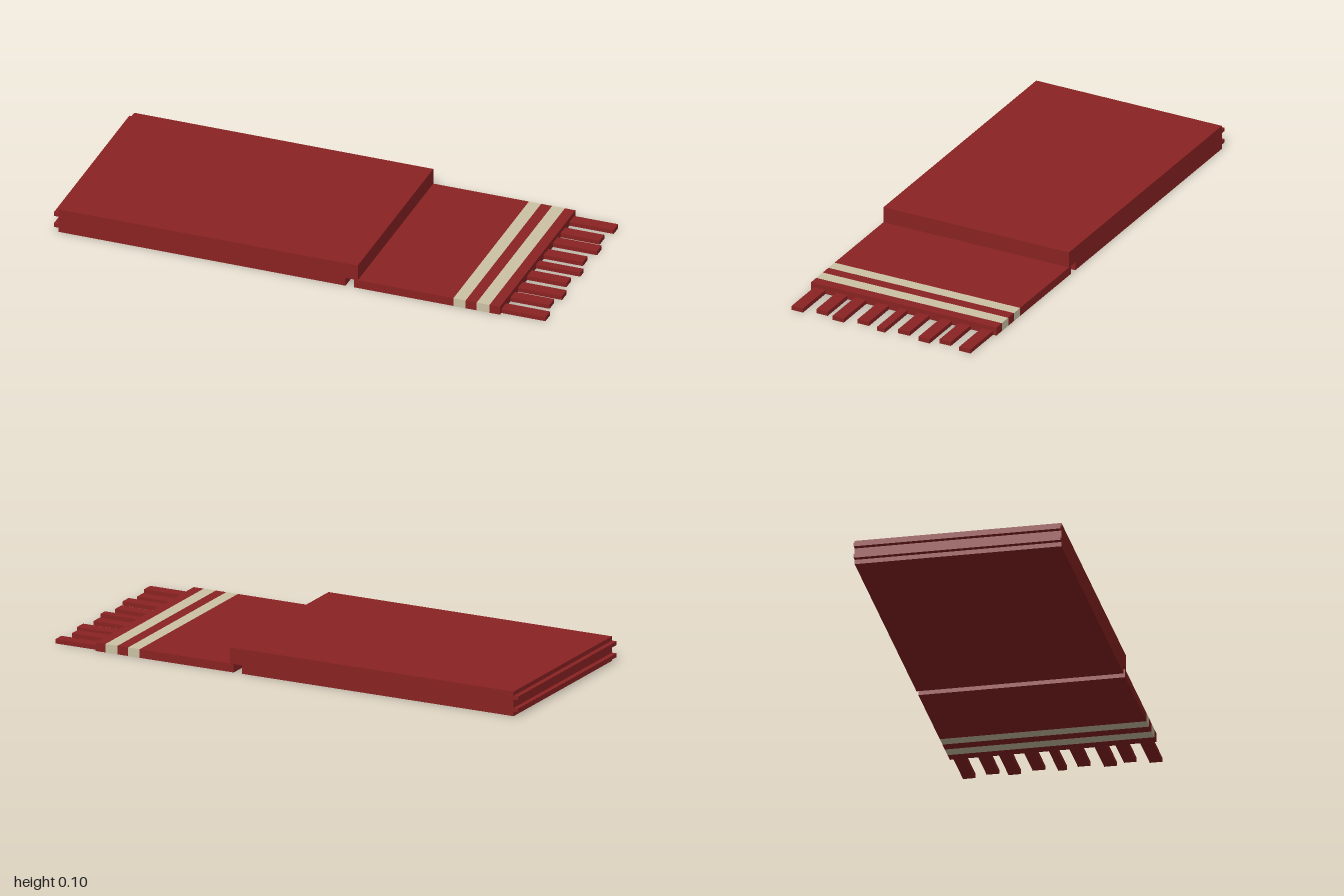
import * as THREE from 'three';

const WIDTH = 0.804;

export function createModel() {
  const red = new THREE.MeshStandardMaterial({ color: 0x8a2222 });
  red.name = 'deep red cloth';
  const cream = new THREE.MeshStandardMaterial({ color: 0xcdc2a5 });
  cream.name = 'cream stripe';

  const model = new THREE.Group();
  model.name = 'foldedBlanket';

  // Box given by its extents along x, y and z
  function slab(name, material, x0, x1, y0, y1, z = 0, depth = WIDTH) {
    const mesh = new THREE.Mesh(new THREE.BoxGeometry(x1 - x0, y1 - y0, depth), material);
    mesh.position.set((x0 + x1) / 2, (y0 + y1) / 2, z);
    mesh.name = name;
    model.add(mesh);
  }

  // Folded stack: the upper layers overhang the lower one, and two fold ridges stick out behind
  const profile = [
    [-0.98, 0], [0.19, 0], [0.19, 0.034], [0.24, 0.034], [0.24, 0.098], [-0.98, 0.098],
    [-0.98, 0.081], [-1, 0.081], [-1, 0.066], [-0.98, 0.066],
    [-0.98, 0.033], [-1, 0.033], [-1, 0.018], [-0.98, 0.018],
  ].map(([x, y]) => new THREE.Vector2(x, y));
  const stackGeometry = new THREE.ExtrudeGeometry(new THREE.Shape(profile), {
    depth: WIDTH, bevelEnabled: false,
  });
  stackGeometry.translate(0, 0, -WIDTH / 2);
  const stack = new THREE.Mesh(stackGeometry, red);
  stack.name = 'foldedStack';
  model.add(stack);

  // Single-layer end flap, split into bands so the stripes run right through it
  const bands = [0.225, 0.63, 0.68, 0.725, 0.777, 0.82];
  for (let i = 0; i < bands.length - 1; i++) {
    const striped = i % 2 === 1;
    slab(striped ? 'flapStripe' : 'flapBand', striped ? cream : red, bands[i], bands[i + 1], 0, 0.034);
  }

  // Fringe tassels, mirrored about a narrower middle one, alternating long and short
  const offsets = [0, 0.088, 0.186, 0.267, 0.363];
  offsets.forEach((z, i) => {
    const tip = i % 2 ? 0.98 : 1;
    for (const side of i ? [1, -1] : [1]) {
      slab('fringeTassel', red, 0.82, tip, 0, 0.017, side * z, i ? 0.049 : 0.034);
    }
  });

  return model;
}
